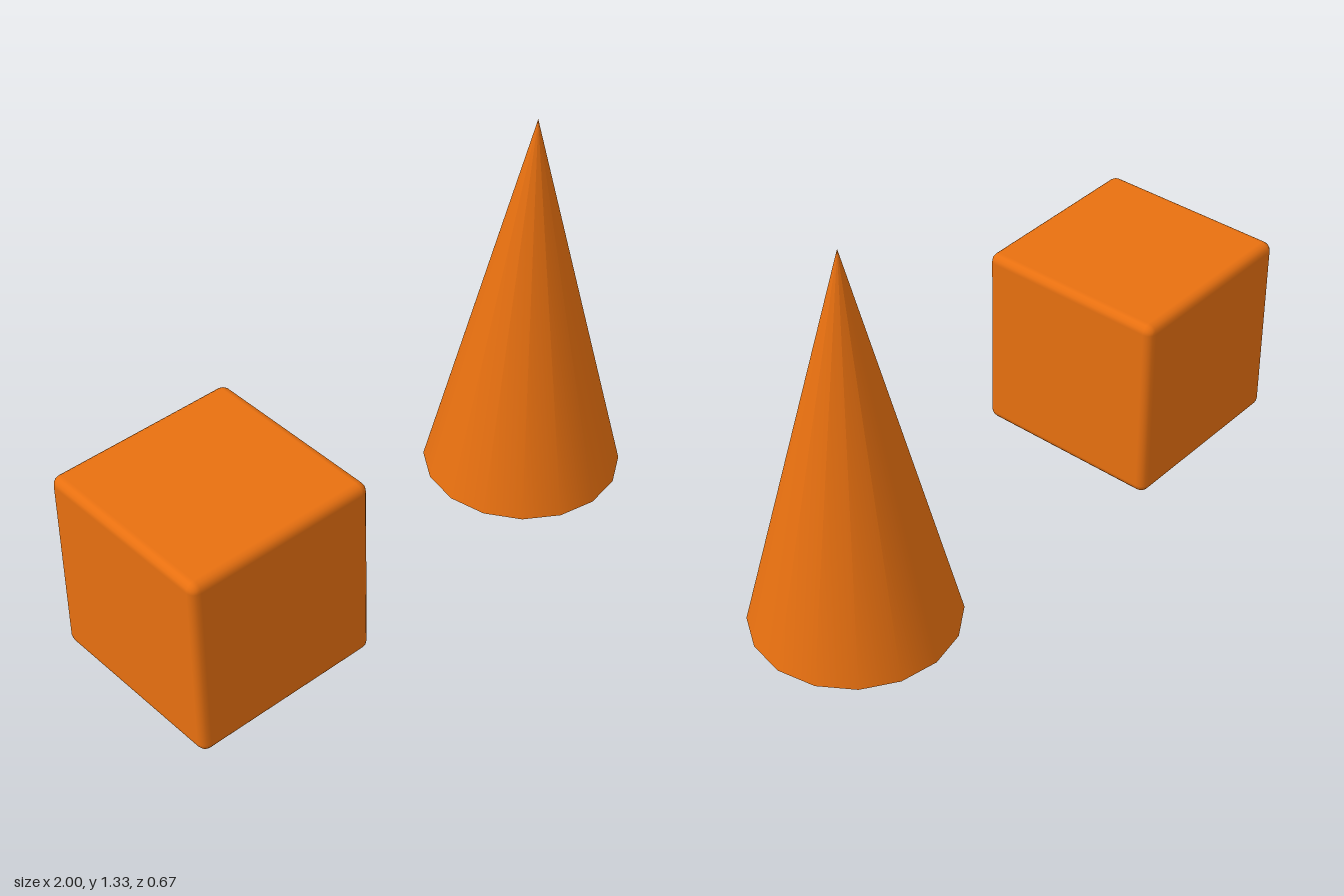
import * as THREE from 'three';
import { RoundedBoxGeometry } from 'three/addons/geometries/RoundedBoxGeometry.js';

export function createModel() {
  const model = new THREE.Group();
  const orange = new THREE.MeshStandardMaterial({ color: 0xe87010 });

  const add = (name, geometry, x, y) => {
    const mesh = new THREE.Mesh(geometry, orange);
    mesh.name = name;
    mesh.position.set(x, y, 0);
    model.add(mesh);
  };

  // Cube with softly rounded edges
  const size = 0.662;
  add('roundedCube', new RoundedBoxGeometry(size, size, size, 2, 0.03), -1 + size / 2, 0.003 + size / 2);

  // Smooth sixteen-sided cone with a closed base, a corner pointing along +x
  const radius = 0.333, height = 1.33;
  add('cone', new THREE.ConeGeometry(radius, height, 16), 1 - radius, height / 2);

  return model;
}
